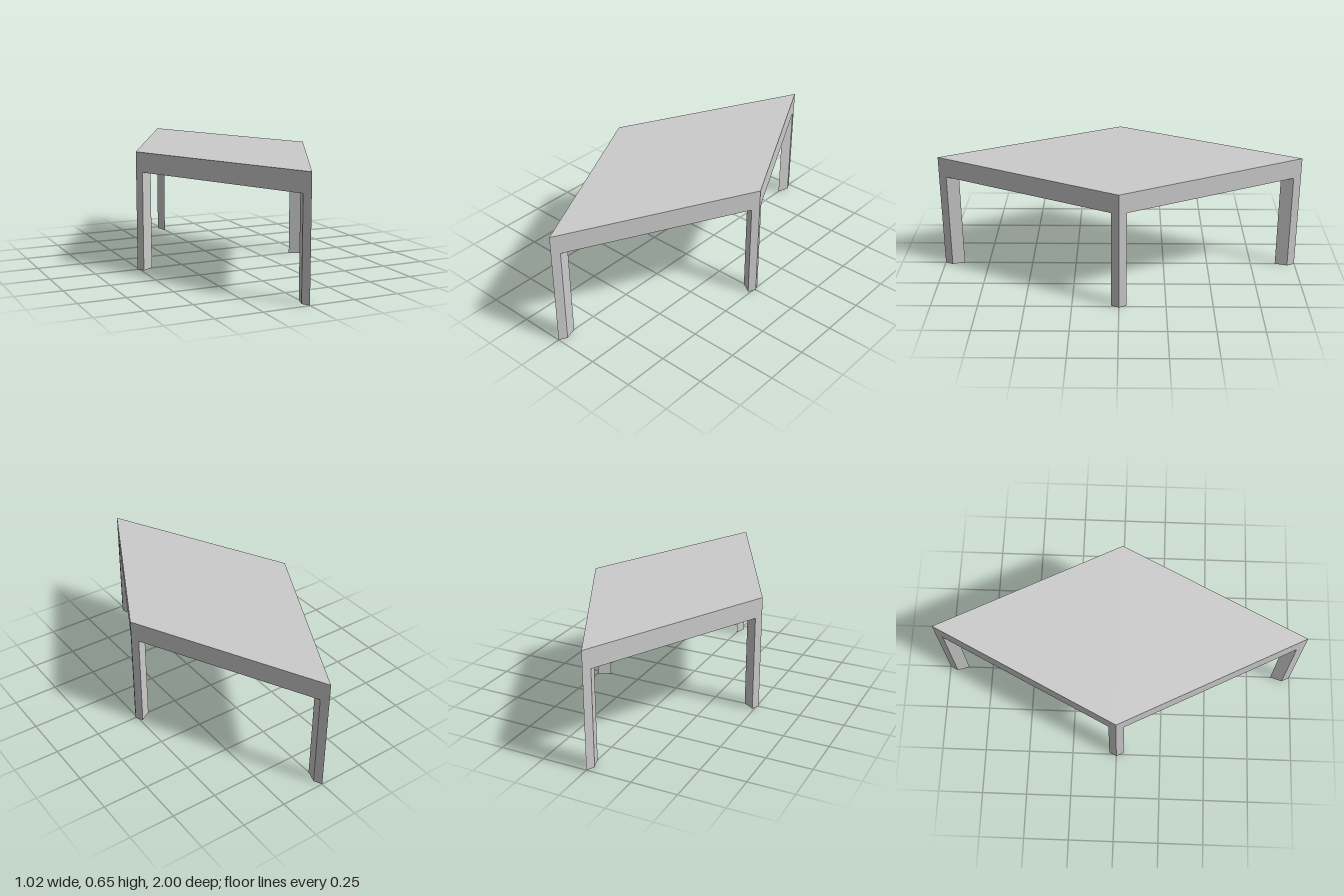
import * as THREE from 'three';

const TOP = 0.648, RIM = 0.54, CEILING = 0.59;
const material = new THREE.MeshStandardMaterial({ color: 0xcccccc, flatShading: true });

// Upright prism from a plan outline of [x, z] points
function prism(name, outline, y0, y1, hole) {
  const toPoints = (pts) => pts.map(([x, z]) => new THREE.Vector2(x, -z));
  const shape = new THREE.Shape(toPoints(outline));
  if (hole) shape.holes.push(new THREE.Path(toPoints(hole)));
  const geometry = new THREE.ExtrudeGeometry(shape, { depth: y1 - y0, bevelEnabled: false });
  geometry.rotateX(-Math.PI / 2).translate(0, y0, 0);
  const mesh = new THREE.Mesh(geometry, material);
  mesh.name = name;
  return mesh;
}

// Counter-clockwise seen from above
const rhombus = (a, b) => [[a, 0], [0, -b], [-a, 0], [0, b]];

export function createModel() {
  const table = new THREE.Group();
  table.name = 'rhombusTable';

  // Solid top, with an apron rim below it whose inner corners meet the legs
  const outer = rhombus(0.51, 1);
  table.add(prism('tableTop', outer, CEILING, TOP));
  table.add(prism('apron', outer, RIM, CEILING, rhombus(0.427, 0.89)));

  // Kite-section legs, flush with the apron at each corner
  for (const s of [1, -1]) {
    const side = s > 0 ? 'left' : 'right', end = s > 0 ? 'front' : 'back';
    table.add(prism(`${side}Leg`,
      [[0.51, 0], [0.489, 0.041], [0.427, 0], [0.489, -0.041]].map(([x, z]) => [s * x, z]), 0, RIM));
    table.add(prism(`${end}Leg`,
      [[0, 1], [0.022, 0.957], [0, 0.89], [-0.022, 0.957]].map(([x, z]) => [x, s * z]), 0, RIM));
  }
  return table;
}
